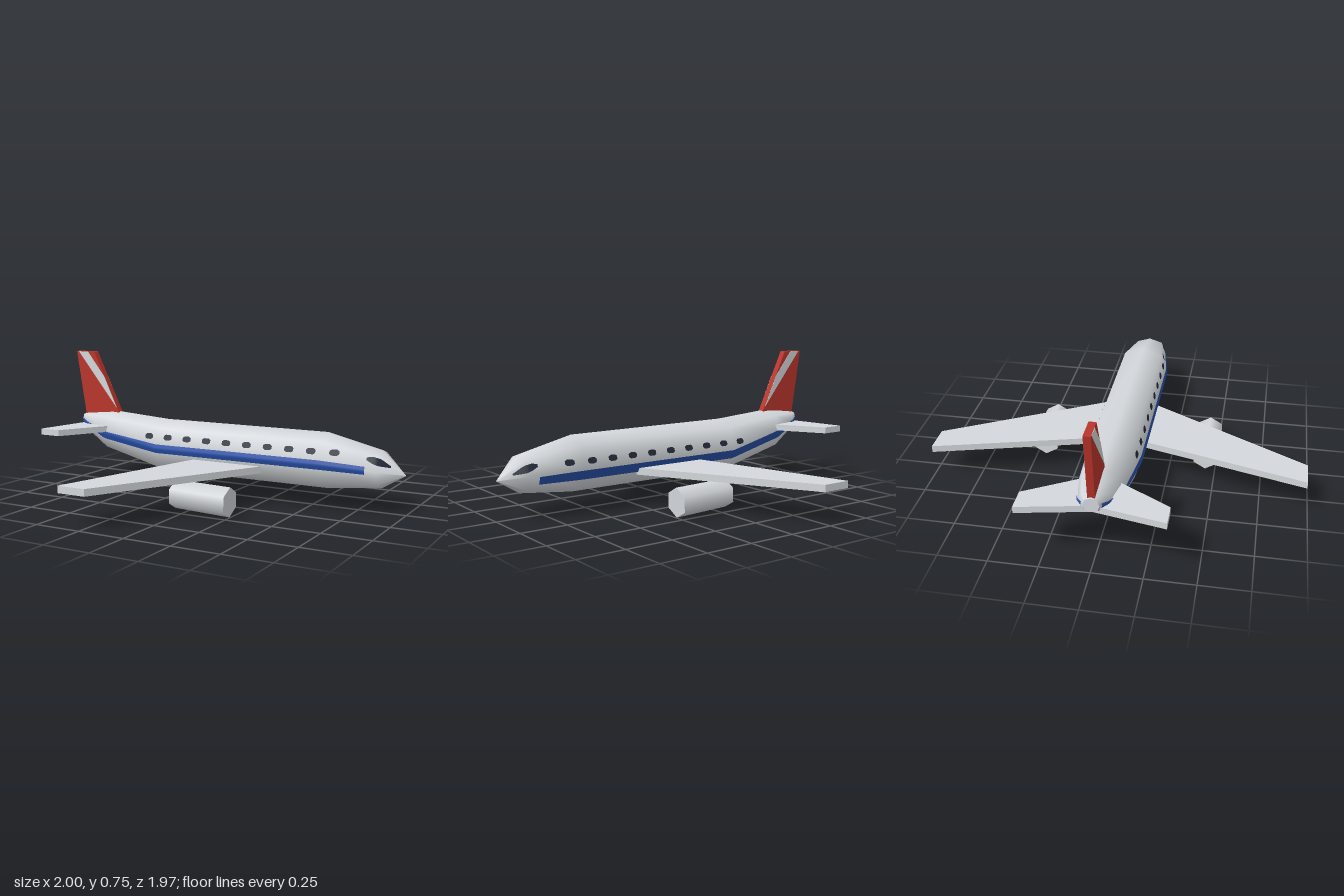
import * as THREE from 'three';

const mat = (name, color, side = THREE.FrontSide) => {
  const m = new THREE.MeshStandardMaterial({ color, side });
  m.name = name;
  return m;
};

// Hull stations: x, bottom y, top y, half width
const STATIONS = [
  [-0.95, 0.315, 0.39, 0.04],
  [-0.9, 0.282, 0.398, 0.072],
  [-0.75, 0.185, 0.413, 0.113],
  [-0.38, 0.095, 0.388, 0.145],
  [0.58, 0.095, 0.388, 0.145],
  [0.87, 0.125, 0.32, 0.1],
  [0.995, 0.2, 0.2, 0],
];
const K = 0.75; // how far the diagonal corners of the eight-sided section reach

function lerpRows(rows, x) {
  let i = 0;
  while (i < rows.length - 2 && x > rows[i + 1][0]) i++;
  const a = rows[i], b = rows[i + 1];
  const t = (x - a[0]) / (b[0] - a[0]);
  return a.map((v, k) => v + (b[k] - v) * t);
}

// Half width of the hull at a given x and y
function hullZ(x, y) {
  const [, lo, hi, w] = lerpRows(STATIONS, x);
  const v = Math.min(1, Math.abs(y - (lo + hi) / 2) / ((hi - lo) / 2));
  return w * (v < K ? 1 - (1 - K) * v / K : K * (1 - v) / (1 - K));
}

function gridGeometry(points, index) {
  const g = new THREE.BufferGeometry();
  g.setAttribute('position', new THREE.Float32BufferAttribute(points, 3));
  g.setIndex(index);
  g.computeVertexNormals();
  return g;
}

// Smooth eight-sided hull lofted through the stations
function hullGeometry() {
  const pos = [], idx = [], n = 8;
  const section = [[1, 0], [K, K], [0, 1], [-K, K], [-1, 0], [-K, -K], [0, -1], [K, -K]];
  for (const [x, lo, hi, w] of STATIONS)
    for (const [cz, cy] of section) pos.push(x, (lo + hi) / 2 + cy * (hi - lo) / 2, cz * w);
  for (let i = 0; i < STATIONS.length - 1; i++)
    for (let j = 0; j < n; j++) {
      const a = i * n + j, b = i * n + (j + 1) % n;
      idx.push(a, a + n, b, b, a + n, b + n);
    }
  // Flat tail cap
  const cap = pos.length / 3;
  pos.push(...pos.slice(0, n * 3));
  for (let j = 1; j < n - 1; j++) idx.push(cap, cap + j, cap + j + 1);
  return gridGeometry(pos, idx);
}

// Painted patch that hugs the hull; rows are x, lower y, upper y
function patch(rows, side) {
  const pos = [], idx = [], r = 6;
  const x0 = rows[0][0], x1 = rows[rows.length - 1][0];
  const n = Math.max(8, Math.ceil((x1 - x0) / 0.02));
  for (let i = 0; i <= n; i++) {
    const [x, lo, hi] = lerpRows(rows, x0 + (x1 - x0) * i / n);
    for (let j = 0; j <= r; j++) {
      const y = lo + (hi - lo) * j / r;
      pos.push(x, y, side * (hullZ(x, y) + 0.005));
    }
  }
  for (let i = 0; i < n; i++)
    for (let j = 0; j < r; j++) {
      const a = i * (r + 1) + j, b = a + r + 1;
      if (side > 0) idx.push(a, b, a + 1, b, b + 1, a + 1);
      else idx.push(a, a + 1, b, b, a + 1, b + 1);
    }
  return gridGeometry(pos, idx);
}

function slab(points, depth) {
  const shape = new THREE.Shape(points.map(([x, y]) => new THREE.Vector2(x, y)));
  return new THREE.ExtrudeGeometry(shape, { depth, bevelEnabled: false });
}

// Swept surface lying flat, symmetric about the hull, from half an outline
function sweptSurface(half, bottom, thickness) {
  const outline = [...half, ...half.slice().reverse().map(([x, z]) => [x, -z])];
  const g = slab(outline, thickness);
  g.rotateX(-Math.PI / 2);
  g.translate(0, bottom, 0);
  return g;
}

export function createModel() {
  const white = mat('hull white', 0xd4d8dc);
  const blue = mat('stripe blue', 0x2850a8, THREE.DoubleSide);
  const red = mat('fin red', 0xba352b);
  const dark = mat('window dark', 0x232b3a, THREE.DoubleSide);

  const model = new THREE.Group();
  model.name = 'airplane';
  const add = (name, geometry, material) => {
    const m = new THREE.Mesh(geometry, material);
    m.name = name;
    model.add(m);
    return m;
  };

  add('fuselage', hullGeometry(), white);

  // Wings and tailplane: leading root, leading tip, trailing tip, trailing root
  add('wings', sweptSurface([[0.33, 0], [-0.225, 0.985], [-0.38, 0.985], [-0.11, 0]], 0.164, 0.036), white);
  add('tailplane', sweptSurface([[-0.67, 0], [-0.88, 0.355], [-1, 0.355], [-0.93, 0]], 0.302, 0.034), white);

  // Tail fin with a pale diagonal band on both faces
  const fin = slab([[-0.935, 0.35], [-0.69, 0.36], [-0.71, 0.41], [-0.875, 0.75], [-1, 0.75]], 0.036);
  add('tailFin', fin.translate(0, 0, -0.018), red);
  const band = [[-0.722, 0.43], [-0.805, 0.605], [-0.92, 0.749], [-0.985, 0.749]];
  for (const z of [-0.02, 0.016]) add('finBand', slab(band, 0.004).translate(0, 0, z), white);

  // Stripe, cabin windows and cockpit window on each side
  const stripes = {
    1: [[-0.94, 0.337, 0.362], [-0.75, 0.265, 0.307], [-0.38, 0.217, 0.265], [0.58, 0.217, 0.265], [0.815, 0.208, 0.248]],
    [-1]: [[-0.94, 0.335, 0.36], [-0.75, 0.26, 0.305], [-0.38, 0.18, 0.228], [0.58, 0.18, 0.228], [0.815, 0.178, 0.218]],
  };
  for (const side of [1, -1]) {
    const drop = side > 0 ? 0 : 0.033;
    add('sideStripe', patch(stripes[side], side), blue);
    for (let i = 0; i < 10; i++) {
      const x = -0.43 + i * 0.121, y = 0.306 - drop;
      add('cabinWindow', patch([
        [x - 0.025, y - 0.007, y + 0.007], [x - 0.015, y - 0.015, y + 0.015],
        [x + 0.015, y - 0.015, y + 0.015], [x + 0.025, y - 0.007, y + 0.007],
      ], side), dark);
    }
    const d = drop * 0.4;
    add('cockpitWindow', patch([
      [0.82, 0.28 - d, 0.292 - d], [0.845, 0.266 - d, 0.298 - d],
      [0.88, 0.253 - d, 0.29 - d], [0.93, 0.242 - d, 0.25 - d],
    ], side), dark);

    // Six-sided engine under the wing, nose slightly down
    const engine = new THREE.CylinderGeometry(0.076, 0.074, 0.31, 6, 1, false);
    engine.rotateZ(-Math.PI / 2 - 0.03);
    engine.rotateX(0);
    const m = add(side > 0 ? 'engineFront' : 'engineBack', engine, white);
    // Turn the corners to point straight up and down
    engine.rotateZ(0.03).rotateX(Math.PI / 6).rotateZ(-0.03);
    m.position.set(0.093, 0.081, side * 0.447);
  }
  return model;
}
